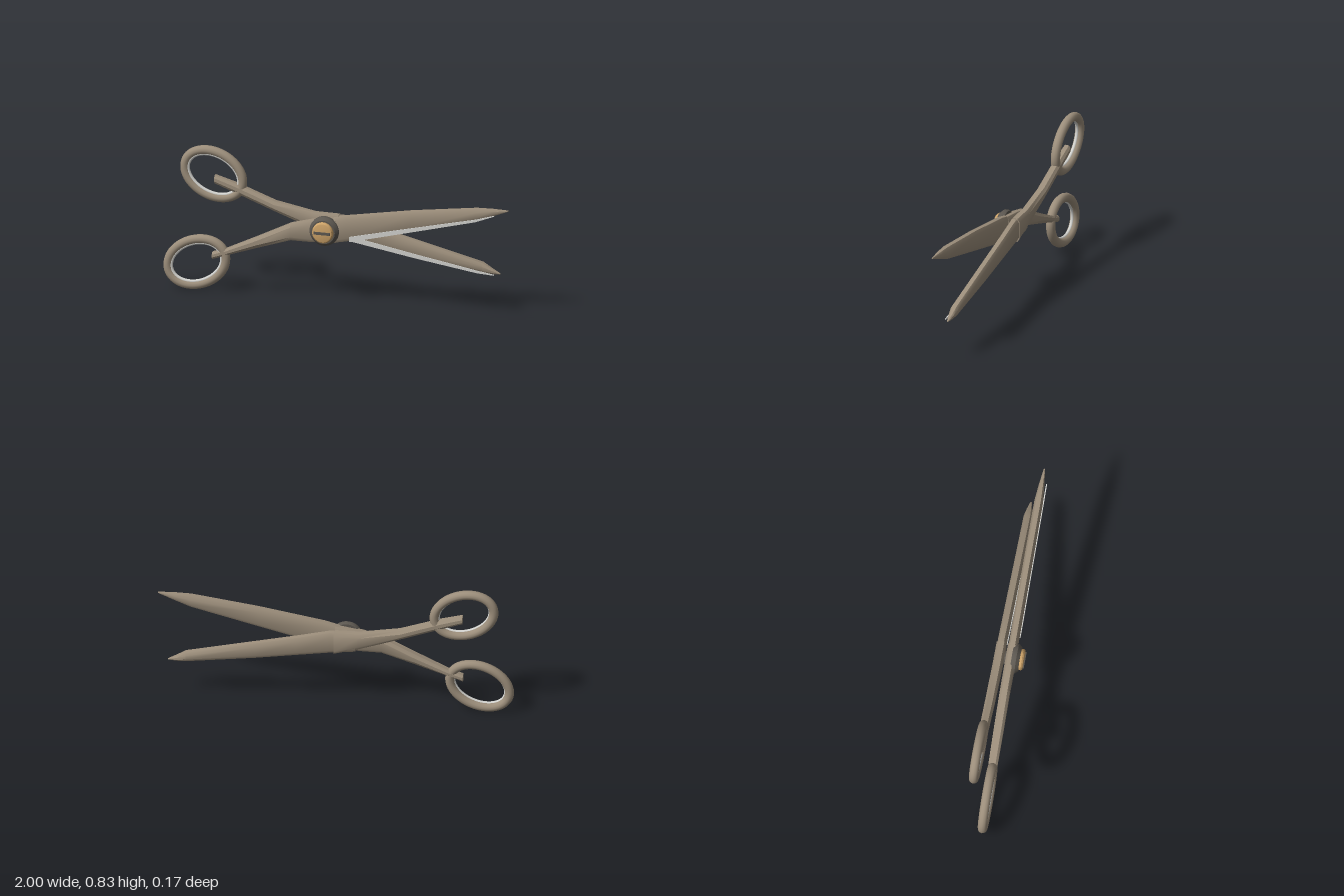
import * as THREE from 'three';
import { toCreasedNormals } from 'three/addons/utils/BufferGeometryUtils.js';

const mat = (name, color, side = THREE.FrontSide) => {
  const m = new THREE.MeshStandardMaterial({ color, side });
  m.name = name;
  return m;
};

// Bevelled bar lofted along x; stations are [x, top, bottom, halfThickness]
function bar(stations) {
  const pos = [], idx = [], n = 8;
  for (const [x, top, bot, h] of stations) {
    const b = Math.min(0.02, (top - bot) * 0.3), c = h * 0.45;
    const ring = [
      [bot + b, -h], [top - b, -h], [top, c - h], [top, h - c],
      [top - b, h], [bot + b, h], [bot, h - c], [bot, c - h],
    ];
    for (const [y, z] of ring) pos.push(x, y, z);
  }
  for (let i = 0; i < stations.length - 1; i++) {
    for (let j = 0; j < n; j++) {
      const a = i * n + j, b = i * n + (j + 1) % n;
      idx.push(a, b, a + n, b, b + n, a + n);
    }
  }
  const last = (stations.length - 1) * n;
  for (let j = 1; j < n - 1; j++) {
    idx.push(0, j + 1, j, last, last + j, last + j + 1);
  }
  const g = new THREE.BufferGeometry();
  g.setAttribute('position', new THREE.Float32BufferAttribute(pos, 3));
  g.setIndex(idx);
  return toCreasedNormals(g, 0.6);
}

// Closed elliptical tube
function ellipseRing(a, b, r) {
  const pts = [];
  for (let i = 0; i < 32; i++) {
    const t = i / 32 * Math.PI * 2;
    pts.push(new THREE.Vector3(a * Math.cos(t), b * Math.sin(t), 0));
  }
  return new THREE.TubeGeometry(new THREE.CatmullRomCurve3(pts, true), 64, r, 12, true);
}

export function createModel() {
  const model = new THREE.Group();
  model.name = 'scissors';
  const steel = mat('warm steel', 0x9c8e7b);
  const silver = mat('polished edge', 0xd2d2ce, THREE.DoubleSide);
  const dark = mat('dark metal', 0x5c5750);
  const brass = mat('brass', 0xcca268);

  const add = (parent, name, geo, material, x = 0, y = 0, z = 0) => {
    const m = new THREE.Mesh(geo, material);
    m.name = name;
    m.position.set(x, y, z);
    parent.add(m);
    return m;
  };

  // One half: blade, ground edge, handle and finger ring
  function half(name, z, blade, edge, handle, ring) {
    const g = new THREE.Group();
    g.name = name;
    g.position.z = z;
    model.add(g);
    add(g, 'blade', bar(blade), steel);
    add(g, 'handle', bar(handle), steel);

    // Thin ground strip along the cutting edge: [x, bottom, width]
    const shape = new THREE.Shape();
    edge.forEach(([x, y], i) => (i ? shape.lineTo(x, y) : shape.moveTo(x, y)));
    [...edge].reverse().forEach(([x, y, w]) => shape.lineTo(x, y + w));
    const strip = new THREE.ExtrudeGeometry(shape, { depth: 0.006, bevelEnabled: false });
    add(g, 'cuttingEdge', strip, silver, 0, 0, 0.0225);

    const loop = new THREE.Group();
    loop.name = 'fingerRing';
    loop.position.set(ring.x, ring.y, 0);
    loop.rotation.z = ring.tilt;
    g.add(loop);
    add(loop, 'ring', ellipseRing(0.174, 0.128, 0.026), steel);
    add(loop, 'ringLining', ellipseRing(0.153, 0.107, 0.01), silver, 0, 0, 0.006);
  }

  half('frontHalf', 0.008,
    [[-0.12, 0.47, 0.37, 0.024], [0, 0.503, 0.36, 0.024], [0.06, 0.519, 0.372, 0.024],
      [0.43, 0.582, 0.465, 0.024], [0.81, 0.633, 0.562, 0.024],
      [0.9, 0.637, 0.595, 0.016], [0.995, 0.637, 0.631, 0.004]],
    [[0.08, 0.374, 0.03], [0.43, 0.463, 0.024], [0.81, 0.56, 0.014], [0.92, 0.603, 0.004]],
    [[-0.715, 0.235, 0.195, 0.022], [-0.63, 0.265, 0.226, 0.026], [-0.45, 0.352, 0.288, 0.028],
      [-0.26, 0.447, 0.35, 0.028], [-0.15, 0.476, 0.35, 0.028], [0, 0.5, 0.358, 0.028]],
    { x: -0.807, y: 0.168, tilt: 0.42 });

  half('backHalf', -0.056,
    [[-0.12, 0.49, 0.385, 0.024], [0.02, 0.497, 0.367, 0.024], [0.21, 0.448, 0.335, 0.024],
      [0.44, 0.392, 0.296, 0.024], [0.83, 0.297, 0.24, 0.024],
      [0.88, 0.268, 0.236, 0.016], [0.93, 0.242, 0.236, 0.004]],
    [[0.03, 0.364, 0.03], [0.44, 0.294, 0.024], [0.8, 0.24, 0.014], [0.9, 0.234, 0.005]],
    [[-0.72, 0.665, 0.618, 0.022], [-0.6, 0.63, 0.575, 0.026], [-0.37, 0.545, 0.488, 0.028],
      [-0.14, 0.502, 0.405, 0.028], [0.0, 0.5, 0.362, 0.028]],
    { x: -0.728, y: 0.67, tilt: -0.42 });

  // Pivot screw: dark washer, domed brass head and raised slot bar
  const screw = new THREE.Group();
  screw.name = 'pivotScrew';
  screw.position.set(-0.062, 0.426, 0);
  model.add(screw);
  const turned = (pts) => {
    const g = new THREE.LatheGeometry(pts.map(([r, y]) => new THREE.Vector2(r, y)), 40);
    return toCreasedNormals(g.rotateX(Math.PI / 2), 0.6);
  };
  add(screw, 'washer', turned([[0, 0.015], [0.08, 0.015], [0.084, 0.022], [0.084, 0.042], [0.068, 0.06], [0, 0.06]]), dark);
  add(screw, 'screwHead', turned([[0, 0.055], [0.06, 0.055], [0.06, 0.072], [0.054, 0.08], [0.048, 0.082], [0, 0.082]]), brass);
  add(screw, 'slotBar', new THREE.BoxGeometry(0.094, 0.015, 0.012), dark, 0, 0, 0.082);
  add(screw, 'pivotPin', new THREE.CylinderGeometry(0.04, 0.04, 0.08, 24).rotateX(Math.PI / 2), dark, 0, 0, -0.025);

  return model;
}
